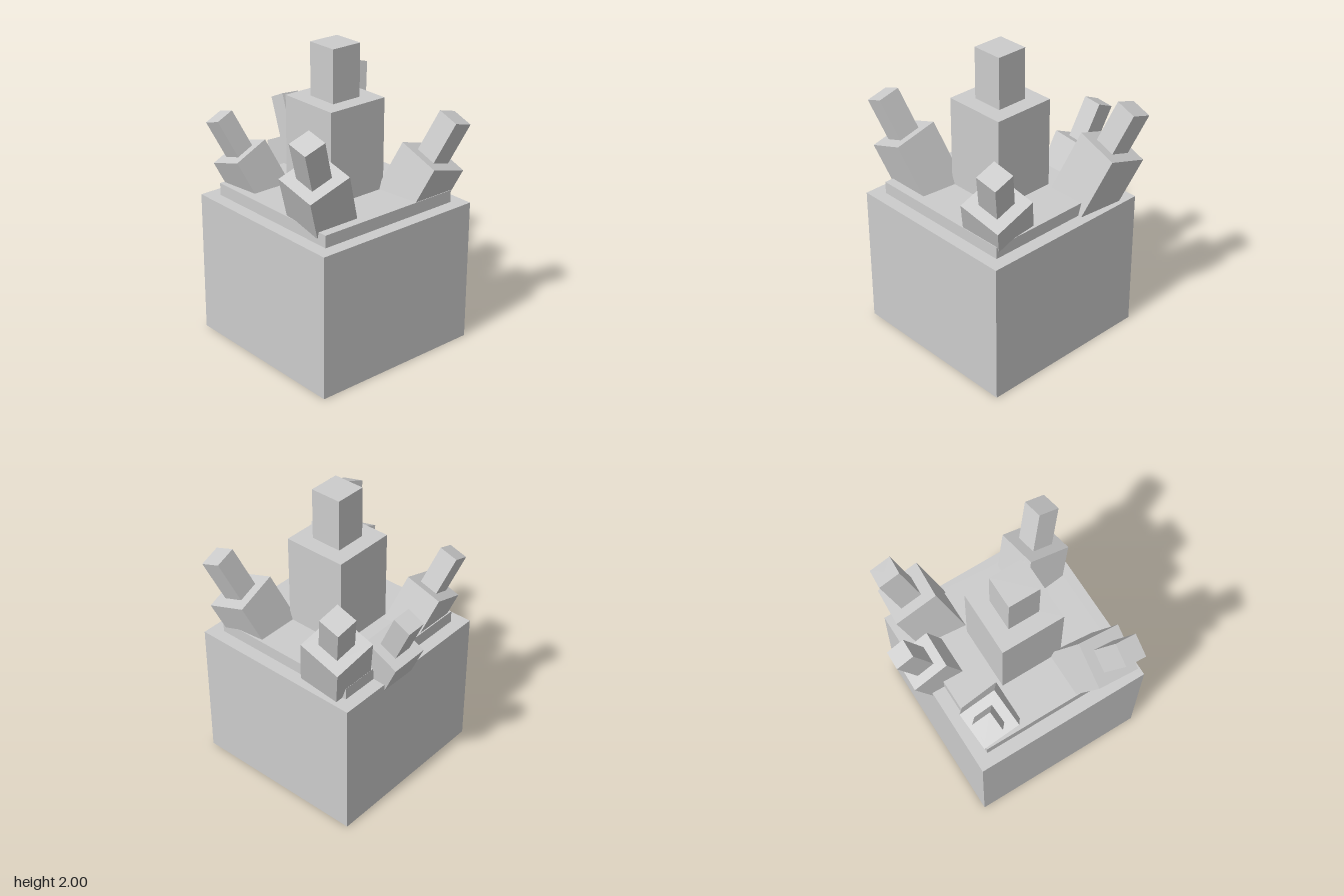
import * as THREE from 'three';

const stone = new THREE.MeshStandardMaterial({ color: 0xcccccc, side: THREE.DoubleSide });
stone.name = 'pale grey';

// Square stepped shell, open underneath: steps are [width, bottom, top] from low to high
function steppedShell(name, steps) {
  const profile = [];
  for (const [width, y0, y1] of steps) {
    const radius = width / Math.SQRT2;
    profile.push(new THREE.Vector2(radius, y0), new THREE.Vector2(radius, y1));
  }
  profile.push(new THREE.Vector2(0, profile[profile.length - 1].y));
  const geometry = new THREE.LatheGeometry(profile, 4, Math.PI / 4).toNonIndexed();
  geometry.computeVertexNormals();
  const mesh = new THREE.Mesh(geometry, stone);
  mesh.name = name;
  return mesh;
}

// Leaning two-step tower; its origin is the centre of the step, its foot is sunk into the base
function leaningTower(name, [x, y, z], tiltX, tiltZ, width, tipHeight) {
  const tower = steppedShell(name, [
    [width, -1.8 * tipHeight, 0],
    [width / 2, 0, tipHeight],
  ]);
  tower.position.set(x, y, z);
  tower.rotation.set(THREE.MathUtils.degToRad(tiltX), 0, THREE.MathUtils.degToRad(tiltZ));
  return tower;
}

export function createModel() {
  const model = new THREE.Group();
  model.name = 'blockCastle';

  // Upright stack: base, plinth, keep and spire
  const castle = steppedShell('baseAndKeep', [
    [1.218, 0, 0.96],
    [1.042, 0.96, 1.042],
    [0.434, 1.042, 1.652],
    [0.216, 1.652, 2],
  ]);
  castle.position.set(-0.01, 0, 0.079);
  model.add(castle);

  // Towers leaning outwards around the keep
  model.add(leaningTower('frontRightTower', [-0.5, 1.355, 0.459], 13.8, 21.3, 0.302, 0.292));
  model.add(leaningTower('frontLeftTower', [0.425, 1.27, 0.517], 19.8, -17.3, 0.303, 0.295));
  model.add(leaningTower('backLeftTower', [0.52, 1.353, -0.38], -17.5, -17, 0.303, 0.292));
  model.add(leaningTower('backRightTower', [-0.431, 1.26, -0.362], -16.5, 21.5, 0.262, 0.268));
  model.add(leaningTower('backTower', [0.138, 1.19, -0.515], -25, -4.5, 0.26, 0.278));

  return model;
}
